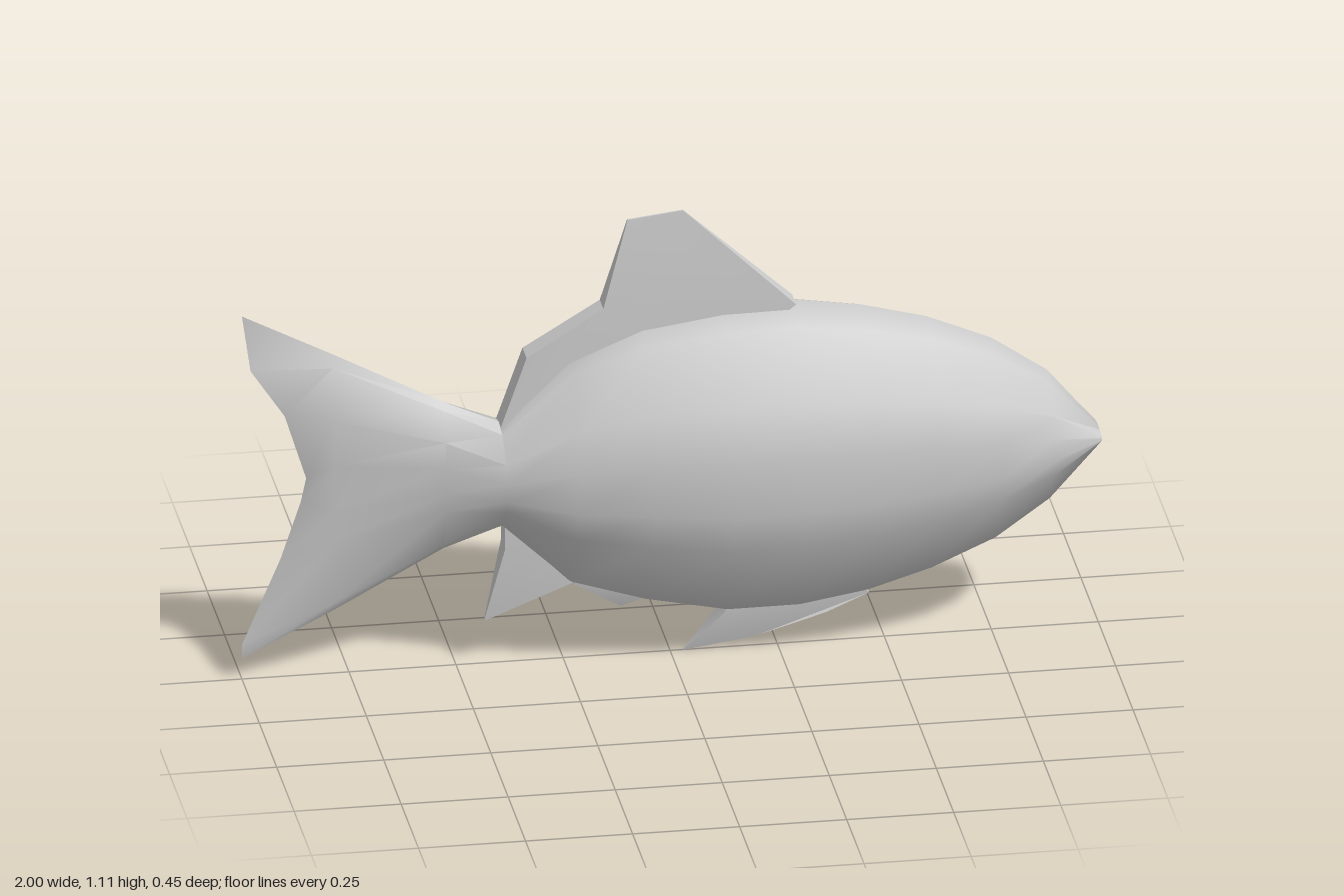
import * as THREE from 'three';
import { toCreasedNormals } from 'three/addons/utils/BufferGeometryUtils.js';

const material = new THREE.MeshStandardMaterial({ color: 0xcccccc });

// Half cross-section from back to belly: [share of half width, share of half height]
const HALF = [[0, 1], [0.37, 0.91], [0.89, 0.53], [1, 0.19], [1, -0.16], [0.89, -0.41], [0.37, -0.92], [0, -1]];

// Stations from mouth to tail: [x, bottom y, top y, half width]
const STATIONS = [
  [1, 0.475, 0.5, 0.055], [0.88, 0.33, 0.65, 0.11], [0.75, 0.24, 0.74, 0.155],
  [0.6, 0.175, 0.805, 0.185], [0.45, 0.13, 0.845, 0.205], [0.29, 0.105, 0.87, 0.222],
  [0.12, 0.105, 0.867, 0.225], [-0.07, 0.145, 0.84, 0.207], [-0.24, 0.2, 0.77, 0.175],
  [-0.4, 0.36, 0.61, 0.132], [-0.53, 0.3, 0.67, 0.045], [-0.79, 0.16, 0.81, 0.045],
];

// Forked rear edge of the tail, one [x, y] per half-section point
const TAIL_EDGE = [[-1, 0.92], [-0.98, 0.78], [-0.9, 0.66], [-0.85, 0.5], [-0.863, 0.44], [-0.91, 0.3], [-1, 0.09], [-1, 0.055]];

// Closes a half-section by mirroring it across z = 0
function mirrorRing(half) {
  const back = half.slice(1, -1).reverse().map(([x, y, z]) => [x, y, -z]);
  return [...half, ...back];
}

// Body and tail as one loft, ending in a sharp forked edge
function bodyGeometry() {
  const rings = STATIONS.map(([x, lo, hi, w]) =>
    mirrorRing(HALF.map(([u, v]) => [x, (lo + hi) / 2 + v * (hi - lo) / 2, u * w])));
  rings.push(mirrorRing(TAIL_EDGE.map(([x, y]) => [x, y, 0])));
  const n = rings[0].length;
  const index = [];
  for (let i = 0; i < rings.length - 1; i++) {
    for (let j = 0; j < n; j++) {
      const a = i * n + j, b = i * n + (j + 1) % n;
      index.push(a, b + n, b, a, a + n, b + n);
    }
  }
  // Mouth cap
  const centre = rings.length * n;
  for (let j = 0; j < n; j++) index.push(centre, j, (j + 1) % n);
  const geometry = new THREE.BufferGeometry();
  const points = [...rings.flat(), [1, 0.4875, 0]];
  geometry.setAttribute('position', new THREE.Float32BufferAttribute(points.flat(), 3));
  geometry.setIndex(index);
  return toCreasedNormals(geometry, 0.9);
}

// Fin plate whose half thickness falls from 0.03 at baseY to a thin edge at tipY
function finGeometry(outline, baseY, tipY) {
  const shape = new THREE.Shape(outline.map(([x, y]) => new THREE.Vector2(x, y)));
  const geometry = new THREE.ExtrudeGeometry(shape, { depth: 1, bevelEnabled: false });
  const p = geometry.attributes.position;
  for (let i = 0; i < p.count; i++) {
    const t = THREE.MathUtils.clamp((tipY - p.getY(i)) / (tipY - baseY), 0.08, 1) * 0.03;
    p.setZ(i, p.getZ(i) > 0.5 ? t : -t);
  }
  return toCreasedNormals(geometry, 0.5);
}

// Fins: name, side outline reaching into the body, base height, tip height
const FINS = [
  ['dorsalFin', [[0.29, 0.87], [0.03, 1.115], [-0.1, 1.1], [-0.16, 0.89], [-0.34, 0.78], [-0.4, 0.61], [-0.2, 0.66], [0.2, 0.8]], 0.86, 1.115],
  ['analFin', [[-0.39, 0.4], [-0.39, 0.3], [-0.435, 0.11], [-0.23, 0.2], [-0.2, 0.28]], 0.24, 0.11],
  ['smallBellyFin', [[-0.23, 0.2], [-0.115, 0.125], [-0.06, 0.148], [-0.06, 0.22], [-0.2, 0.26]], 0.18, 0.125],
  ['pelvicFin', [[0.12, 0.1], [0.03, 0.003], [0.2, 0.03], [0.36, 0.085], [0.46, 0.13], [0.4, 0.2], [0.15, 0.16]], 0.1, 0],
];

export function createModel() {
  const fish = new THREE.Group();
  fish.name = 'fish';
  const add = (name, geometry) => {
    const mesh = new THREE.Mesh(geometry, material);
    mesh.name = name;
    fish.add(mesh);
  };
  add('bodyAndTail', bodyGeometry());
  for (const [name, outline, baseY, tipY] of FINS) add(name, finGeometry(outline, baseY, tipY));
  return fish;
}
